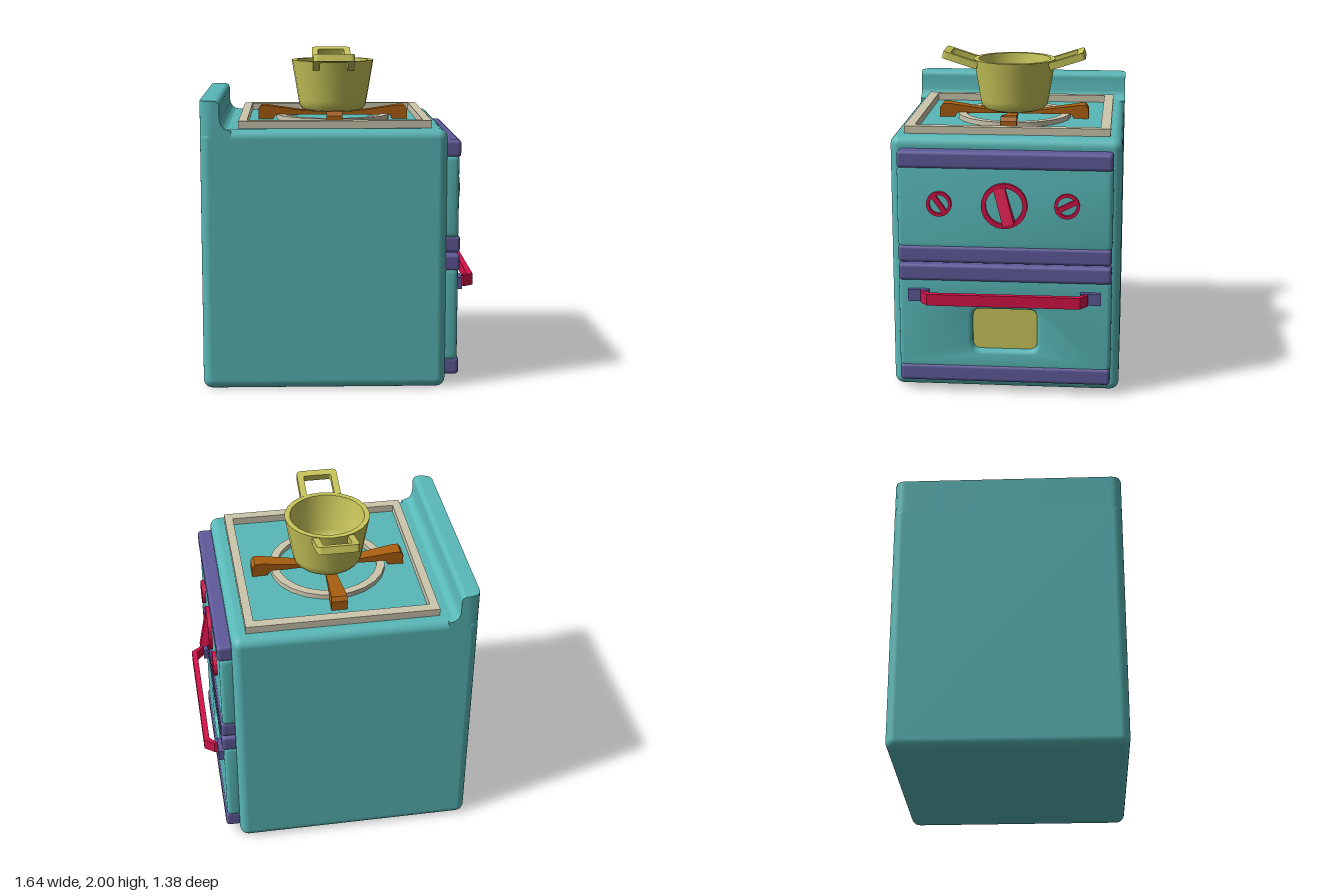
import * as THREE from 'three';
import { RoundedBoxGeometry } from 'three/addons/geometries/RoundedBoxGeometry.js';
import { toCreasedNormals } from 'three/addons/utils/BufferGeometryUtils.js';

const mat = (color) => new THREE.MeshStandardMaterial({ color });
const TEAL = mat(0x59b8b8), PURPLE = mat(0x5f5a9a), RED = mat(0xd4124a);
const BEIGE = mat(0xcdc7ae), ORANGE = mat(0xab5f10), YELLOW = mat(0xc8c65a);

function add(parent, name, geometry, material, x = 0, y = 0, z = 0) {
  const mesh = new THREE.Mesh(geometry, material);
  mesh.name = name;
  mesh.position.set(x, y, z);
  parent.add(mesh);
  return mesh;
}

function group(parent, name, x = 0, y = 0, z = 0) {
  const g = new THREE.Group();
  g.name = name;
  g.position.set(x, y, z);
  parent.add(g);
  return g;
}

const polygon = (pts) => new THREE.Shape(pts.map(([x, y]) => new THREE.Vector2(x, y)));

// Rounded rectangle between two corners
function roundRect(x0, y0, x1, y1, r) {
  const s = new THREE.Shape();
  s.moveTo(x0 + r, y0).lineTo(x1 - r, y0).quadraticCurveTo(x1, y0, x1, y0 + r);
  s.lineTo(x1, y1 - r).quadraticCurveTo(x1, y1, x1 - r, y1);
  s.lineTo(x0 + r, y1).quadraticCurveTo(x0, y1, x0, y1 - r);
  s.lineTo(x0, y0 + r).quadraticCurveTo(x0, y0, x0 + r, y0);
  return s;
}

function extrude(shape, depth, bevel = 0, extra = {}) {
  const g = new THREE.ExtrudeGeometry(shape, {
    depth: depth - 2 * bevel, bevelEnabled: bevel > 0, bevelSize: bevel,
    bevelThickness: bevel, bevelSegments: 3, curveSegments: 6, ...extra,
  });
  g.translate(0, 0, bevel);
  return toCreasedNormals(g, 0.6);
}

function ringShape(outer, inner) {
  const s = new THREE.Shape().absarc(0, 0, outer, 0, Math.PI * 2);
  s.holes.push(new THREE.Path().absarc(0, 0, inner, 0, Math.PI * 2, true));
  return s;
}

// Raised back ledge: a profile run across the width, rear corners rounded in plan
function backLedge() {
  const s = new THREE.Shape();
  s.moveTo(-0.825, 1.3).lineTo(-0.64, 1.3).lineTo(-0.64, 1.565);
  s.quadraticCurveTo(-0.7, 1.57, -0.708, 1.63).lineTo(-0.708, 1.7);
  s.quadraticCurveTo(-0.708, 1.74, -0.745, 1.74).lineTo(-0.825, 1.74);
  const half = 0.69, r = 0.06;
  const g = new THREE.ExtrudeGeometry(s, { depth: 2 * half, steps: 100, bevelEnabled: false });
  g.translate(0, 0, -half);
  const p = g.attributes.position;
  for (let i = 0; i < p.count; i++) {
    const d = Math.max(0, Math.abs(p.getZ(i)) - (half - r));
    const limit = -0.825 + r - Math.sqrt(Math.max(0, r * r - d * d));
    p.setX(i, Math.max(p.getX(i), limit));
  }
  return toCreasedNormals(g, 0.6);
}

// Dial: ring plus a wedge grip that gets deeper towards its lower end
function addKnob(parent, x, y, radius, inner, width, tilt, topDepth, lowDepth) {
  const knob = group(parent, 'knob', x, y, 0.705);
  add(knob, 'knobRing', extrude(ringShape(radius, inner), 0.028, 0, { curveSegments: 16 }), RED);
  const wedge = extrude(polygon([[0, -inner], [lowDepth, -inner], [topDepth, inner], [0, inner]]), width);
  wedge.translate(0, 0, -width / 2).rotateY(-Math.PI / 2);
  add(knob, 'knobGrip', wedge, RED).rotation.z = tilt;
}

export function createModel() {
  const model = new THREE.Group();
  model.name = 'toyStove';

  // Cabinet
  add(model, 'cabinet', new RoundedBoxGeometry(1.46, 1.57, 1.38, 4, 0.055), TEAL, -0.095, 0.785, 0);
  add(model, 'backLedge', backLedge(), TEAL);

  // Front side, modelled facing +z and then turned to +x
  const front = group(model, 'frontSide');
  front.rotation.y = Math.PI / 2;
  add(front, 'controlPanel', extrude(roundRect(-0.615, 0.925, 0.615, 1.395, 0.02), 0.1, 0.025), TEAL, 0, 0, 0.61);
  const door = roundRect(-0.615, 0.17, 0.615, 0.71, 0.02);
  door.holes.push(roundRect(-0.22, 0.245, 0.22, 0.555, 0.08));
  add(front, 'ovenDoor', extrude(door, 0.1, 0.025), TEAL, 0, 0, 0.61);
  add(front, 'ovenWindow', new THREE.BoxGeometry(0.46, 0.33, 0.02), YELLOW, 0, 0.4, 0.655);
  for (const y of [1.448, 0.872, 0.758, 0.12]) {
    add(front, 'trimBar', new RoundedBoxGeometry(1.275, 0.105, 0.1, 3, 0.022), PURPLE, 0, y, 0.67);
  }

  addKnob(front, 0, 1.18, 0.137, 0.109, 0.068, 0.28, 0.03, 0.08);
  addKnob(front, -0.387, 1.185, 0.075, 0.056, 0.03, 0.62, 0.026, 0.026);
  addKnob(front, 0.37, 1.185, 0.075, 0.056, 0.03, -1.1, 0.026, 0.026);

  // Oven door handle
  const handle = group(front, 'doorHandle', 0, 0.62, 0);
  for (const side of [-1, 1]) {
    add(handle, 'handleMount', new THREE.BoxGeometry(0.125, 0.072, 0.04), PURPLE, side * 0.515, 0, 0.72);
  }
  const grip = extrude(polygon([
    [-0.5, -0.735], [-0.44, -0.785], [0.44, -0.785], [0.5, -0.735],
    [0.5, -0.76], [0.455, -0.82], [-0.455, -0.82], [-0.5, -0.76],
  ].reverse()), 0.07);
  grip.translate(0, 0, -0.035).rotateX(-Math.PI / 2);
  add(handle, 'handleGrip', grip, RED);

  // Hob: square frame, burner ring and four grate arms
  const hob = group(model, 'hob', -0.028, 0, 0);
  const frame = polygon([[-0.573, -0.615], [0.573, -0.615], [0.573, 0.615], [-0.573, 0.615]]);
  frame.holes.push(polygon([[-0.522, -0.555], [-0.522, 0.555], [0.522, 0.555], [0.522, -0.555]]));
  add(hob, 'hobFrame', extrude(frame, 0.06).rotateX(-Math.PI / 2), BEIGE, 0, 1.555, 0);
  add(hob, 'burnerRing', extrude(ringShape(0.355, 0.305), 0.04, 0, { curveSegments: 12 }).rotateX(-Math.PI / 2),
    BEIGE, 0, 1.56, 0);
  const armProfile = polygon([
    [0, 1.595], [0.36, 1.595], [0.38, 1.56], [0.468, 1.56], [0.468, 1.63],
    [0.45, 1.655], [0.41, 1.655], [0.2, 1.624], [0, 1.62],
  ]);
  for (let i = 0; i < 4; i++) {
    const arm = new THREE.ExtrudeGeometry(armProfile, { depth: 1, bevelEnabled: false });
    const p = arm.attributes.position;
    for (let k = 0; k < p.count; k++) { // arms widen outwards
      const width = 0.05 + 0.1 * p.getX(k);
      p.setZ(k, (p.getZ(k) - 0.5) * width);
    }
    add(hob, 'grateArm', toCreasedNormals(arm, 0.4), ORANGE).rotation.y = i * Math.PI / 2;
  }

  // Cooking pot
  const pot = group(model, 'pot', -0.028, 0, 0);
  const wall = [
    [0, 1.622], [0.16, 1.622], [0.19, 1.632], [0.208, 1.655], [0.215, 1.69], [0.257, 1.94],
    [0.225, 1.94], [0.195, 1.71], [0.18, 1.675], [0.15, 1.66], [0, 1.66],
  ].map(([r, y]) => new THREE.Vector2(r, y));
  add(pot, 'potBowl', toCreasedNormals(new THREE.LatheGeometry(wall, 24), 0.75), YELLOW);
  const loop = new THREE.Shape();
  loop.moveTo(-0.125, 0).lineTo(-0.085, 0).lineTo(-0.085, 0.17).quadraticCurveTo(-0.085, 0.185, -0.07, 0.185);
  loop.lineTo(0.07, 0.185).quadraticCurveTo(0.085, 0.185, 0.085, 0.17).lineTo(0.085, 0).lineTo(0.125, 0);
  loop.lineTo(0.125, 0.2).quadraticCurveTo(0.125, 0.228, 0.097, 0.228);
  loop.lineTo(-0.097, 0.228).quadraticCurveTo(-0.125, 0.228, -0.125, 0.2);
  for (const turn of [0, Math.PI]) {
    const side = group(pot, 'potHandle');
    side.rotation.y = turn;
    add(side, 'handleLoop', extrude(loop, 0.045).rotateX(Math.PI / 2 - 0.31), YELLOW, 0, 1.928, 0.216);
  }
  return model;
}
